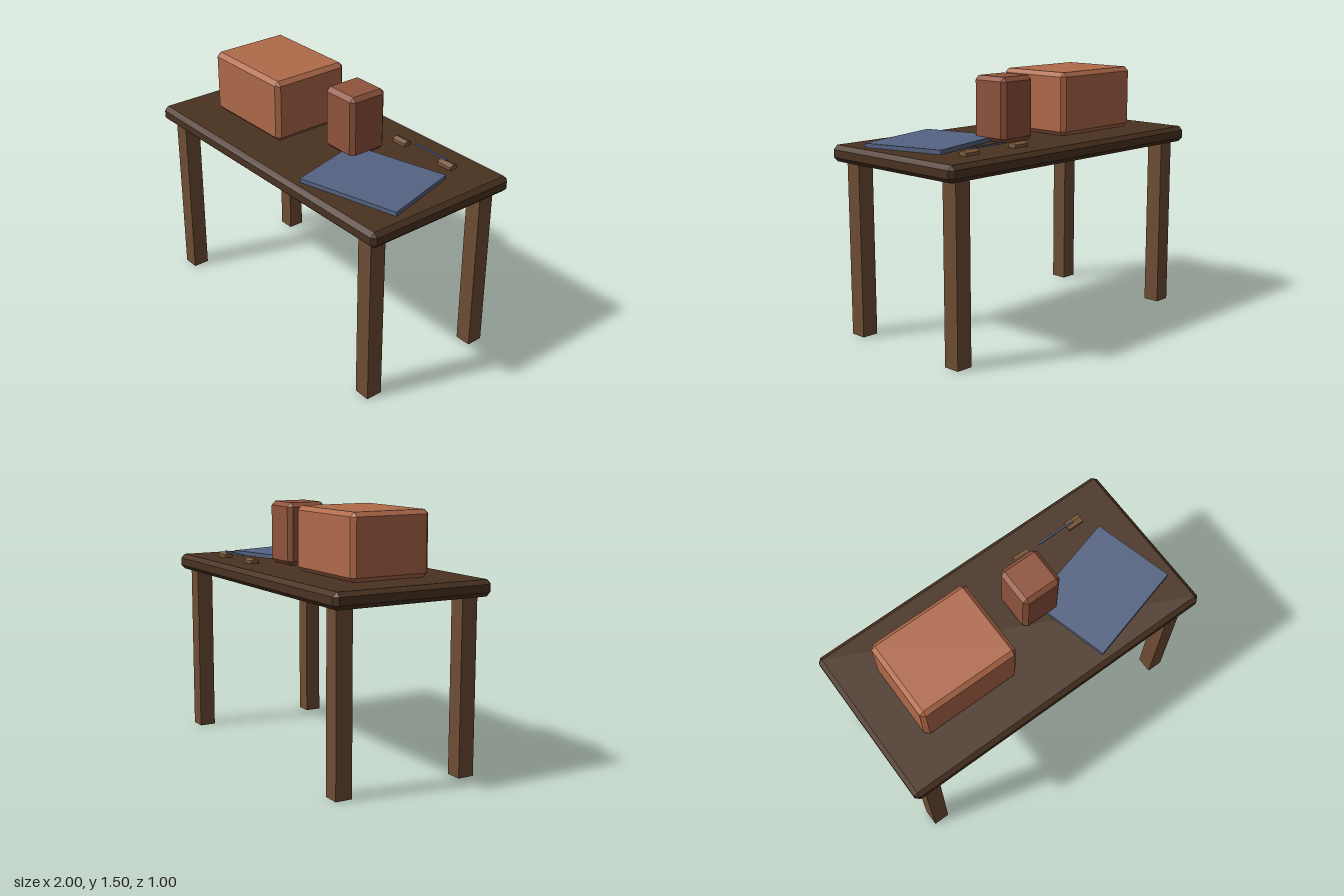
import * as THREE from 'three';
import { ConvexGeometry } from 'three/addons/geometries/ConvexGeometry.js';

const material = (name, color) => {
  const m = new THREE.MeshStandardMaterial({ color });
  m.name = name;
  return m;
};

// Box with every edge and corner cut flat by c
function chamferedBox(w, h, d, c) {
  const points = [];
  for (const x of [-1, 1]) for (const y of [-1, 1]) for (const z of [-1, 1]) {
    for (let outer = 0; outer < 3; outer++) {
      const inset = [0, 1, 2].map(axis => (axis === outer ? 0 : c));
      points.push(new THREE.Vector3(
        x * (w / 2 - inset[0]), y * (h / 2 - inset[1]), z * (d / 2 - inset[2])));
    }
  }
  return new ConvexGeometry(points);
}

export function createModel() {
  const model = new THREE.Group();
  model.name = 'deskWithBoxes';
  const darkWood = material('dark wood', 0x4a3322);
  const legWood = material('leg wood', 0x6e4d34);
  const terracotta = material('terracotta', 0xb06a4a);
  const rust = material('rust', 0x8f533c);
  const blue = material('slate blue', 0x566483);
  const lightWood = material('light wood', 0x7c5a3c);

  const add = (name, geometry, mat, x, y, z) => {
    const mesh = new THREE.Mesh(geometry, mat);
    mesh.name = name;
    mesh.position.set(x, y, z);
    model.add(mesh);
    return mesh;
  };

  // Desk
  const top = 1.125;
  add('tabletop', chamferedBox(2, 0.095, 1, 0.025), darkWood, 0, 1.0775, 0);
  const leg = new THREE.BoxGeometry(0.1, 1.03, 0.1);
  for (const x of [-1, 1]) for (const z of [-1, 1]) {
    add(`${z > 0 ? 'front' : 'back'}${x > 0 ? 'Left' : 'Right'}Leg`, leg, legWood, x * 0.875, 0.515, z * 0.4);
  }

  // Boxes standing on the desk
  add('largeBox', chamferedBox(0.625, 0.375, 0.5, 0.025), terracotta, -0.4425, top + 0.1875, 0);
  add('smallBox', chamferedBox(0.25, 0.375, 0.25, 0.025), rust, 0.185, top + 0.1875, -0.065);

  // Thin pad turned on the desk
  const pad = add('pad', new THREE.BoxGeometry(0.625, 0.025, 0.5), blue, 0.562, top + 0.0125, 0.122);
  pad.rotation.y = Math.PI / 12;

  // Ridged rests and the pen above them
  const profile = new THREE.Shape([[-0.027, 0], [0.027, 0], [0.027, 0.018], [0, 0.031], [-0.027, 0.018]]
    .map(([x, y]) => new THREE.Vector2(x, y)));
  const rest = new THREE.ExtrudeGeometry(profile, { depth: 0.1, bevelEnabled: false });
  rest.rotateY(Math.PI / 2);
  rest.translate(-0.05, 0, 0);
  for (const [name, x] of [['rightRest', 0.32], ['leftRest', 0.695]]) {
    add(name, rest, lightWood, x, top, -0.313);
  }
  add('pen', new THREE.BoxGeometry(0.25, 0.01, 0.01), blue, 0.5625, 1.161, -0.313);

  return model;
}
